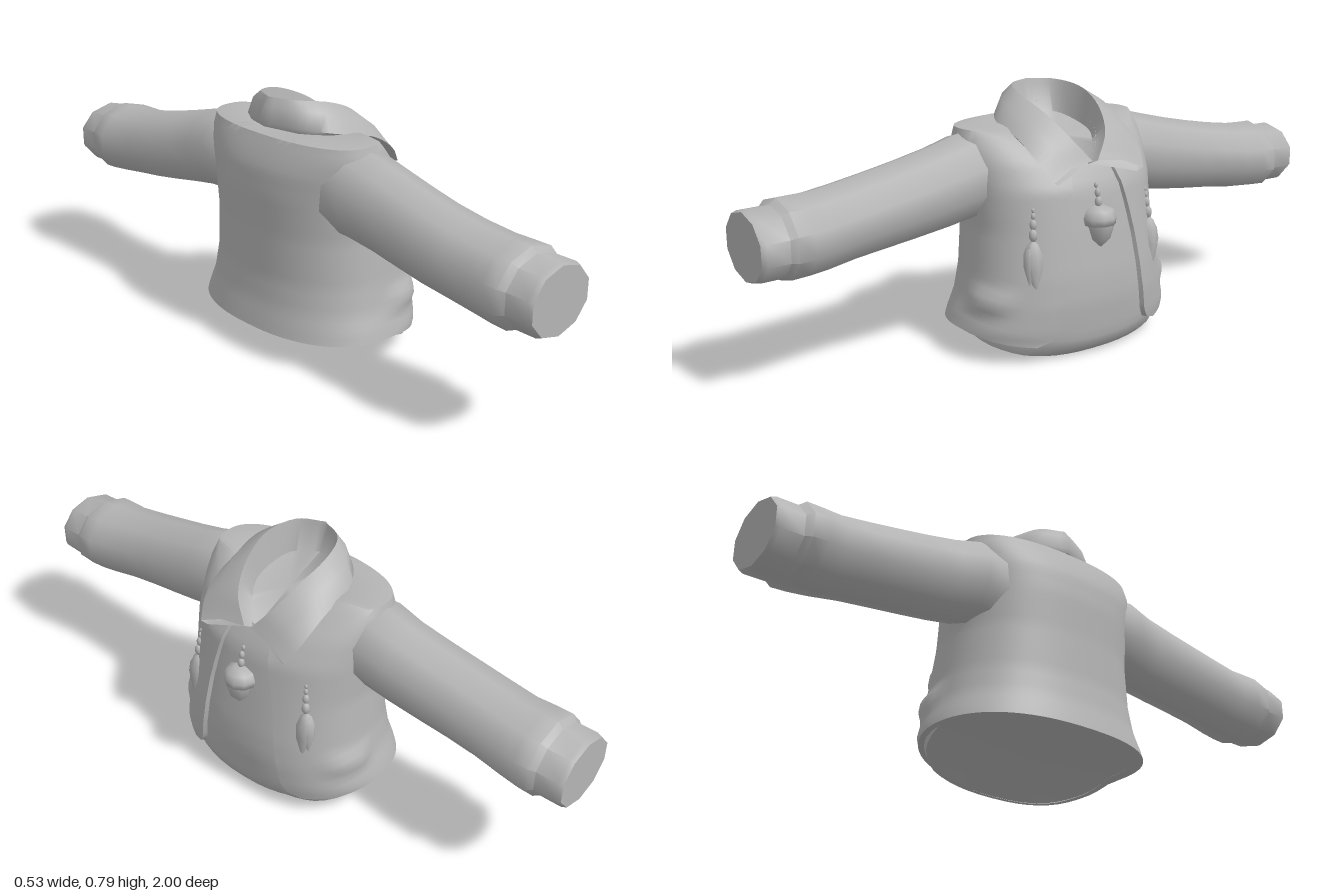
import * as THREE from 'three';
import { toCreasedNormals } from 'three/addons/utils/BufferGeometryUtils.js';

const cloth = new THREE.MeshStandardMaterial({ color: 0xb4b4b4, side: THREE.DoubleSide });
cloth.name = 'grey cloth';

// Surface from a grid of points: fn(u, v), both 0..1
function grid(cols, rows, fn, crease = 0.9) {
  const pos = [], idx = [], w = cols + 1;
  for (let r = 0; r <= rows; r++)
    for (let c = 0; c <= cols; c++) pos.push(...fn(c / cols, r / rows, c, r));
  for (let r = 0; r < rows; r++)
    for (let c = 0; c < cols; c++) {
      const a = r * w + c;
      idx.push(a, a + w, a + 1, a + 1, a + w, a + w + 1);
    }
  const g = new THREE.BufferGeometry();
  g.setAttribute('position', new THREE.Float32BufferAttribute(pos, 3));
  g.setIndex(idx);
  return toCreasedNormals(g, crease);
}

function part(parent, name, geometry, x = 0, y = 0, z = 0) {
  const m = new THREE.Mesh(geometry, cloth);
  m.name = name;
  m.position.set(x, y, z);
  parent.add(m);
  return m;
}

// Linear lookup in rows of [key, ...values]
function lookup(table, k) {
  let i = 0;
  while (i < table.length - 2 && k > table[i + 1][0]) i++;
  const a = table[i], b = table[i + 1];
  const t = THREE.MathUtils.clamp((k - a[0]) / (b[0] - a[0]), 0, 1);
  return a.slice(1).map((p, j) => p + (b[j + 1] - p) * t);
}

// Torso sections: y, back x, front x, half width
const BODY = [
  [0.0, -0.275, 0.195, 0.33], [0.03, -0.27, 0.235, 0.345], [0.06, -0.268, 0.245, 0.36],
  [0.1, -0.263, 0.25, 0.366], [0.18, -0.245, 0.257, 0.338], [0.26, -0.236, 0.252, 0.323],
  [0.4, -0.235, 0.23, 0.308], [0.52, -0.24, 0.208, 0.312], [0.6, -0.235, 0.16, 0.32],
  [0.65, -0.218, 0.11, 0.324], [0.69, -0.2, 0.07, 0.312]];
// Jacket opening: y, half gap
const OPENING = [[0.055, 0.225], [0.068, 0.19], [0.1, 0.168], [0.2, 0.15],
  [0.35, 0.13], [0.45, 0.108], [0.52, 0.09], [0.6, 0.07]];
const E = 0.85;
const spow = (n) => Math.sign(n) * Math.abs(n) ** E;

function bodyPoint(phi, y, s) {
  const [back, front, half] = lookup(BODY, y);
  const mid = (back + front) / 2;
  let x = mid + s * ((front - back) / 2) * spow(Math.cos(phi));
  let z = s * half * spow(Math.sin(phi));
  // pocket swelling on each side
  const k = Math.exp(-(((x - 0.09) / 0.075) ** 4) - ((y - 0.195) / 0.032) ** 4);
  if (s === 1 && x > 0) { z += Math.sign(z) * 0.016 * k; x += 0.006 * k; }
  return [x, y, z];
}

// Half curves of the collar, from front to back
const curve = (pts) => new THREE.CatmullRomCurve3(pts.map((p) => new THREE.Vector3(...p)));
const neck = curve([[0.15, 0.575, 0], [0.11, 0.62, 0.05], [0.05, 0.65, 0.09],
  [-0.03, 0.67, 0.1], [-0.1, 0.69, 0.075], [-0.14, 0.7, 0]]);
const fold = curve([[0.19, 0.595, 0.01], [0.155, 0.665, 0.065], [0.08, 0.73, 0.1],
  [-0.03, 0.776, 0.115], [-0.125, 0.792, 0.08], [-0.165, 0.795, 0]]);
const rim = curve([[0.213, 0.555, 0.168], [0.165, 0.61, 0.192], [0.08, 0.665, 0.2],
  [-0.05, 0.698, 0.19], [-0.14, 0.715, 0.125], [-0.188, 0.722, 0]]);

// Point on a collar curve at angle 0..2PI round the neck
function around(c, phi) {
  const side = phi > Math.PI ? -1 : 1;
  const t = side > 0 ? phi / Math.PI : 2 - phi / Math.PI;
  const p = c.getPoint(Math.min(1, Math.max(0, t)));
  p.z *= side;
  return p;
}

// Torso wall from hem to neck; open at the front when gap is true
function torso(rows, cols, gap, s, hem) {
  return grid(cols, rows, (u, v, c, r) => {
    const t = Math.min(1, Math.max(0, (r - 1) / (rows - 3)));
    let phi0 = 0, uu = u;
    if (gap) {
      const y = 0.055 + 0.535 * t;
      const half = lookup(BODY, y)[2];
      phi0 = Math.asin((lookup(OPENING, y)[0] / half) ** (1 / E));
      uu = Math.min(1, Math.max(0, (c - 1) / (cols - 2)));
    }
    const phi = phi0 + (2 * Math.PI - 2 * phi0) * uu;
    const front = Math.max(0, Math.cos(phi));
    const low = hem(front), high = 0.69 - 0.1 * front ** 4;
    const edge = r === 0 || (gap && (c === 0 || c === cols));
    const p = bodyPoint(phi, low + (high - low) * t, edge ? s - 0.06 : s);
    if (r < rows - 1) return p;
    const n = around(neck, phi), k = r === rows ? 1 : 0.5;
    const lift = r === rows ? -0.008 : 0.022 * Math.abs(Math.sin(phi));
    return [p[0] + (n.x - p[0]) * k, p[1] + (n.y - p[1]) * k + lift, p[2] + (n.z - p[2]) * k];
  });
}

// Sleeve rings: z, centre x, centre y, radius x, radius y
const SLEEVE = [
  [0.2, -0.06, 0.545, 0.125, 0.13], [0.31, -0.062, 0.545, 0.13, 0.132], [0.4, -0.06, 0.525, 0.122, 0.128],
  [0.5, -0.065, 0.505, 0.122, 0.123], [0.6, -0.07, 0.487, 0.122, 0.119], [0.7, -0.07, 0.472, 0.125, 0.115],
  [0.79, -0.066, 0.459, 0.13, 0.115], [0.85, -0.066, 0.455, 0.14, 0.116], [0.9, -0.066, 0.453, 0.141, 0.117],
  [0.918, -0.065, 0.45, 0.126, 0.104], [0.985, -0.065, 0.449, 0.126, 0.104],
  [1.0, -0.065, 0.449, 0.12, 0.098], [1.0, -0.065, 0.449, 0, 0]];

function sleeve(side) {
  return grid(10, SLEEVE.length - 1, (u, v, c, r) => {
    const [z, cx, cy, rx, ry] = SLEEVE[r];
    const a = (u * 2 + 0.1) * Math.PI;
    return [cx + rx * Math.cos(a), cy - side * ry * Math.sin(a), side * z];
  }, 0.8);
}

const lathe = (pts, n) => new THREE.LatheGeometry(pts.map((p) => new THREE.Vector2(...p)), n);

// String of small beads hanging down from a point
function beads(parent, list) {
  for (const [x, y, z, r] of list)
    part(parent, 'bead', new THREE.SphereGeometry(r, 8, 6), x, y, z).scale.y = 1.5;
}

export function createModel() {
  const model = new THREE.Group();
  model.name = 'jacket';

  part(model, 'jacketBody', torso(32, 66, true, 1, (f) => 0.095 - 0.045 * f ** 1.3));
  const shirtHem = (f) => 0.095 - 0.092 * f ** 0.9;
  part(model, 'shirt', torso(24, 48, false, 0.95, shirtHem));

  // Lining that closes the bottom of the shirt
  part(model, 'bottomLining', grid(48, 1, (u, v) => {
    const phi = u * 2 * Math.PI;
    if (v === 0) return [0, 0.075, 0];
    return bodyPoint(phi, shirtHem(Math.max(0, Math.cos(phi))) + 0.004, 0.9);
  }));

  for (const side of [1, -1])
    part(model, side > 0 ? 'leftSleeve' : 'rightSleeve', sleeve(side));

  // Folded collar: underside, rim, outer fall, fold, inner neck, neck lining
  part(model, 'collar', grid(48, 7, (u, v, c, r) => {
    const phi = u * 2 * Math.PI;
    const f = around(fold, phi), o = around(rim, phi), n = around(neck, phi);
    if (c === 48) for (const p of [f, o, n]) p.z = -Math.abs(p.z);
    const m = f.clone().lerp(o, 0.5);
    m.y += 0.012;
    m.z *= 1.06;
    const under = o.clone().lerp(n, 0.12);
    under.y -= 0.012;
    const inner = f.clone().lerp(n, 0.15);
    const p = [f.clone().lerp(n, 0.7), under, o, m, f, inner, n, new THREE.Vector3(0, 0.645, 0)][r];
    return [p.x, p.y, p.z];
  }, 1.0));

  // Acorn charm at the centre of the chest
  const acorn = new THREE.Group();
  acorn.name = 'acornCharm';
  model.add(acorn);
  part(acorn, 'acornNut', lathe([[0, -0.09], [0.01, -0.08], [0.03, -0.06], [0.042, -0.02], [0.042, 0.01]], 10),
    0.222, 0.425, 0.005);
  part(acorn, 'acornCap', lathe([[0.03, -0.025], [0.052, -0.015], [0.055, 0.005], [0.045, 0.028],
    [0.02, 0.038], [0, 0.04]], 10), 0.213, 0.425, 0.005);
  beads(acorn, [[0.212, 0.475, 0.005, 0.011], [0.208, 0.502, 0.005, 0.009], [0.2, 0.524, 0.005, 0.006]]);

  // Leaf charms, one on each front panel
  const leaf = lathe([[0, -0.09], [0.01, -0.065], [0.028, -0.015], [0.03, 0.03], [0.018, 0.065], [0, 0.078]], 8);
  for (const side of [1, -1]) {
    const charm = new THREE.Group();
    charm.name = side > 0 ? 'leftLeafCharm' : 'rightLeafCharm';
    model.add(charm);
    for (const k of [-1, 0, 1]) {
      const m = part(charm, 'leaf', leaf, 0.188 - Math.abs(k) * 0.006, 0.31 + Math.abs(k) * 0.012,
        side * 0.222 + k * 0.01);
      m.scale.set(0.75, k ? 0.8 : 1, k ? 0.8 : 0.95);
      m.rotation.set(-k * 0.15, 0, 0.12);
    }
    beads(charm, [[0.178, 0.4, side * 0.22, 0.013], [0.174, 0.431, side * 0.217, 0.011],
      [0.172, 0.456, side * 0.215, 0.007], [0.17, 0.473, side * 0.214, 0.005]]);
  }
  return model;
}
